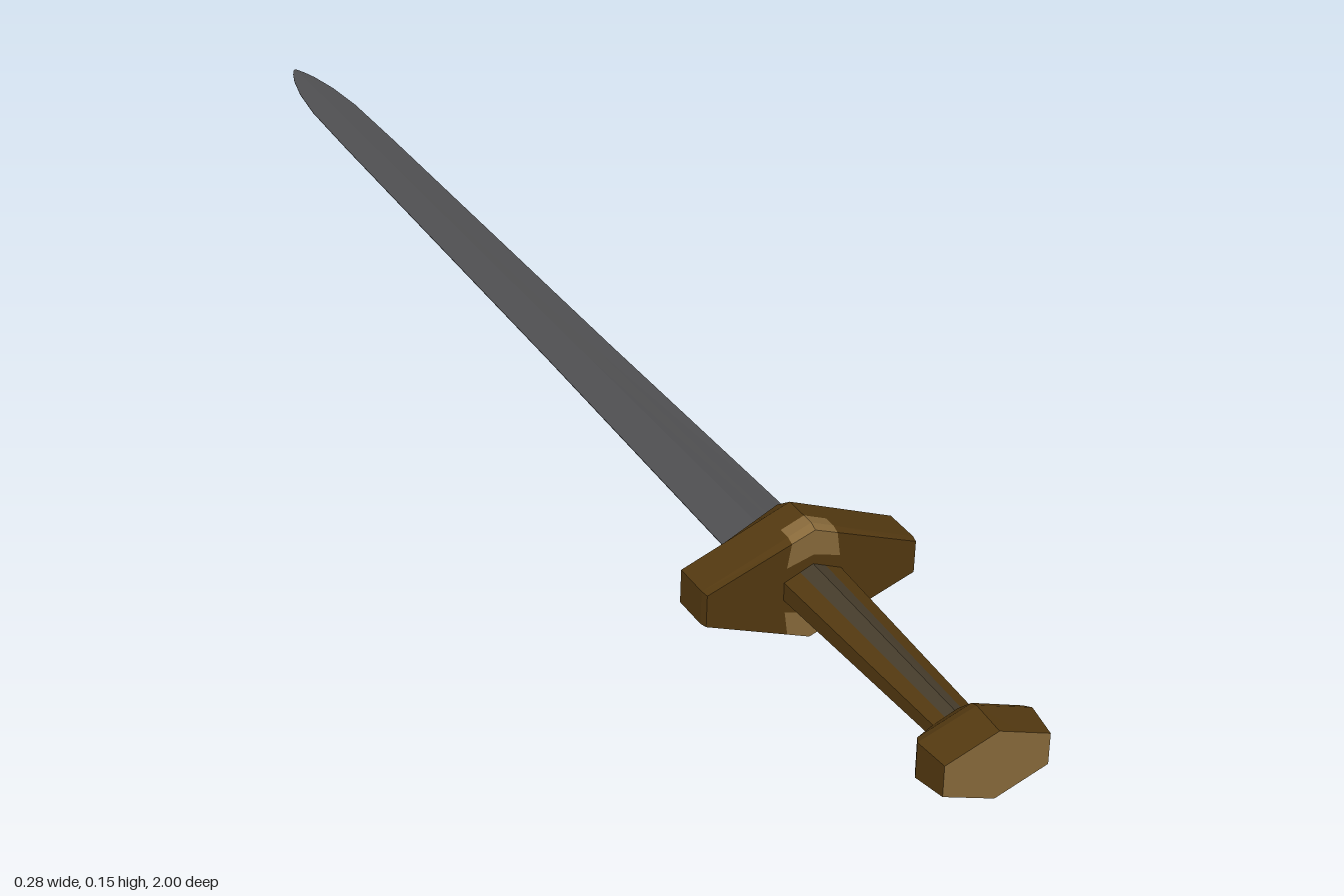
import * as THREE from 'three';

const material = (name, color) => {
  const m = new THREE.MeshStandardMaterial({ color, flatShading: true });
  m.name = name;
  return m;
};

// Pointed hexagon: half width w, half height h, half height s of the side edges.
// Extra points at x = +-c allow a band of another colour along the ridges.
function section({ z, w, h, s, c = w * 0.45 }) {
  const yc = h + (s - h) * (c / w);
  return [
    [w, -s], [w, s], [c, yc], [0, h], [-c, yc],
    [-w, s], [-w, -s], [-c, -yc], [0, -h], [c, -yc],
  ].map(([x, y]) => [x, y, z]);
}

// Skin sections running from front to back; pick(ring, side) chooses the material.
// Ring -1 is the front cap.
function loft(name, rings, materials, pick = () => 0) {
  const loops = rings.map(section);
  const position = [];
  const geometry = new THREE.BufferGeometry();
  const add = (mat, ...points) => {
    geometry.addGroup(position.length / 3, points.length, mat);
    points.forEach((p) => position.push(...p));
  };
  const n = 10;
  const last = loops.length - 1;
  for (let j = 0; j < n; j++) {
    const k = (j + 1) % n;
    add(pick(-1, j), [0, 0, rings[0].z], loops[0][j], loops[0][k]);
    for (let i = 0; i < last; i++) {
      const a = loops[i][j], b = loops[i][k];
      const c = loops[i + 1][k], d = loops[i + 1][j];
      add(pick(i, j), a, d, c, a, c, b);
    }
    add(pick(last, j), [0, 0, rings[last].z], loops[last][k], loops[last][j]);
  }
  geometry.setAttribute('position', new THREE.Float32BufferAttribute(position, 3));
  geometry.computeVertexNormals();
  const mesh = new THREE.Mesh(geometry, materials);
  mesh.name = name;
  return mesh;
}

export function createModel() {
  const bronze = material('dark bronze', 0x523810);
  const tan = material('polished tan', 0x87693a);
  const leather = material('grip leather', 0x463c2b);
  const steel = material('blade steel', 0x4f4f51);
  const onRidge = (j) => [2, 3, 7, 8].includes(j);

  const model = new THREE.Group();
  model.name = 'sword';

  // Pommel with a pale end face
  const pommel = loft('pommel', [
    { z: 1, w: 0.066, h: 0.044, s: 0.02 },
    { z: 0.955, w: 0.072, h: 0.048, s: 0.023 },
    { z: 0.945, w: 0.066, h: 0.045, s: 0.021 },
    { z: 0.92, w: 0.03, h: 0.022, s: 0.01 },
  ], [bronze, tan], (i) => (i === -1 ? 1 : 0));
  pommel.position.x = 0.002;

  // Tapered grip with leather along the ridges
  const grip = loft('grip', [
    { z: 0.93, w: 0.027, h: 0.018, s: 0.008 },
    { z: 0.6, w: 0.038, h: 0.028, s: 0.012 },
  ], [bronze, leather], (i, j) => (onRidge(j) ? 1 : 0));

  // Crossguard with pale patches at the top and bottom points
  const guard = loft('guard', [
    { z: 0.612, w: 0.07, h: 0.04, s: 0.02, c: 0.035 },
    { z: 0.612, w: 0.138, h: 0.147, s: 0.021, c: 0.03 },
    { z: 0.602, w: 0.14, h: 0.0775, s: 0.022, c: 0.03 },
    { z: 0.585, w: 0.14, h: 0.0775, s: 0.022, c: 0.03 },
    { z: 0.552, w: 0.14, h: 0.0775, s: 0.022, c: 0.03 },
    { z: 0.524, w: 0.08, h: 0.058, s: 0.018, c: 0.03 },
  ].map((r, i) => (i === 1 ? { ...r, h: 0.073 } : r)),
  [bronze, tan], (i, j) => (i >= 0 && i <= 2 && onRidge(j) ? 1 : 0));
  guard.rotation.z = -0.015;

  // Long thin blade with a rounded tip
  const blade = loft('blade', [
    [0.56, 0.055, 0.008], [0, 0.045, 0.006], [-0.7, 0.037, 0.004],
    [-0.84, 0.034, 0.0035], [-0.91, 0.027, 0.003], [-0.96, 0.017, 0.0025],
    [-0.985, 0.009, 0.002], [-1, 0.002, 0.001],
  ].map(([z, w, h]) => ({ z, w, h, s: 0.0005 })), [steel]);

  model.add(pommel, grip, guard, blade);
  model.children.forEach((part) => { part.position.y = 0.0775; });
  return model;
}
